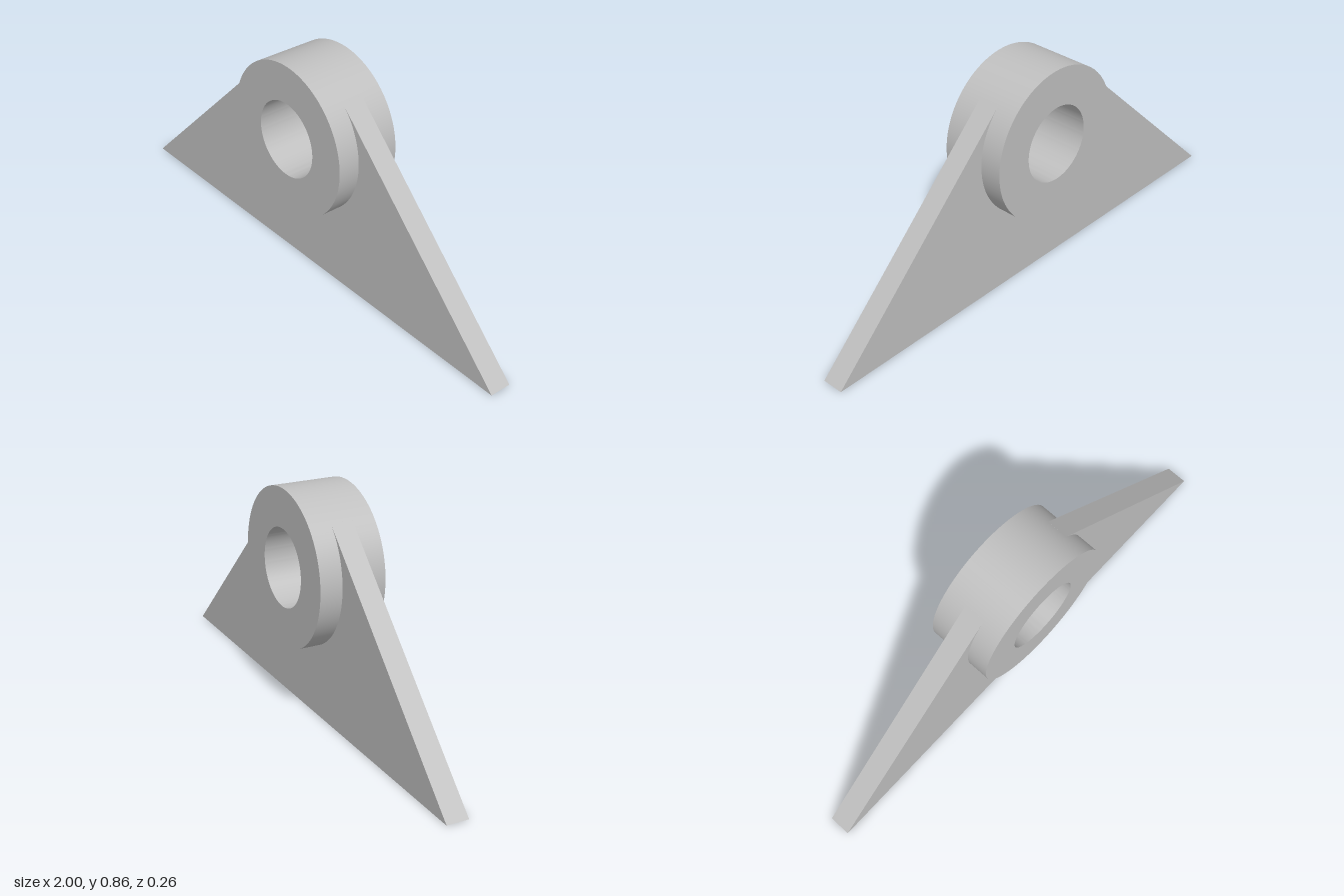
import * as THREE from 'three';
import { toCreasedNormals } from 'three/addons/utils/BufferGeometryUtils.js';

const CENTRE_Y = 0.56, OUTER = 0.3, BORE = 0.15;

// Extrude a shape symmetrically about z = 0, keeping curved walls smooth
function extrudeCentred(shape, depth) {
  const geometry = new THREE.ExtrudeGeometry(shape, { depth, bevelEnabled: false, curveSegments: 64 });
  geometry.translate(0, 0, -depth / 2);
  return toCreasedNormals(geometry, Math.PI / 6);
}

function circularHole(radius) {
  return new THREE.Path().absarc(0, CENTRE_Y, radius, 0, Math.PI * 2, true);
}

export function createModel() {
  const group = new THREE.Group();
  group.name = 'pivotBracket';
  const metal = new THREE.MeshStandardMaterial({ color: 0xbfbfbf });
  metal.name = 'greyMetal';

  // Bearing ring with a through bore
  const ring = new THREE.Shape().absarc(0, CENTRE_Y, OUTER, 0, Math.PI * 2, false);
  ring.holes.push(circularHole(BORE));
  const boss = new THREE.Mesh(extrudeCentred(ring, 0.257), metal);
  boss.name = 'bearingRing';

  // Triangular web whose sloping edges run tangent to the ring
  const slope = Math.atan2(CENTRE_Y, 1) + Math.asin(OUTER / Math.hypot(1, CENTRE_Y));
  const tx = OUTER * Math.sin(slope), ty = CENTRE_Y + OUTER * Math.cos(slope);
  const web = new THREE.Shape([
    [-1, 0], [1, 0], [tx, ty], [0, 0.82], [-tx, ty],
  ].map(([x, y]) => new THREE.Vector2(x, y)));
  web.holes.push(circularHole((OUTER + BORE) / 2));
  const plate = new THREE.Mesh(extrudeCentred(web, 0.085), metal);
  plate.name = 'triangularPlate';

  group.add(boss, plate);
  return group;
}
